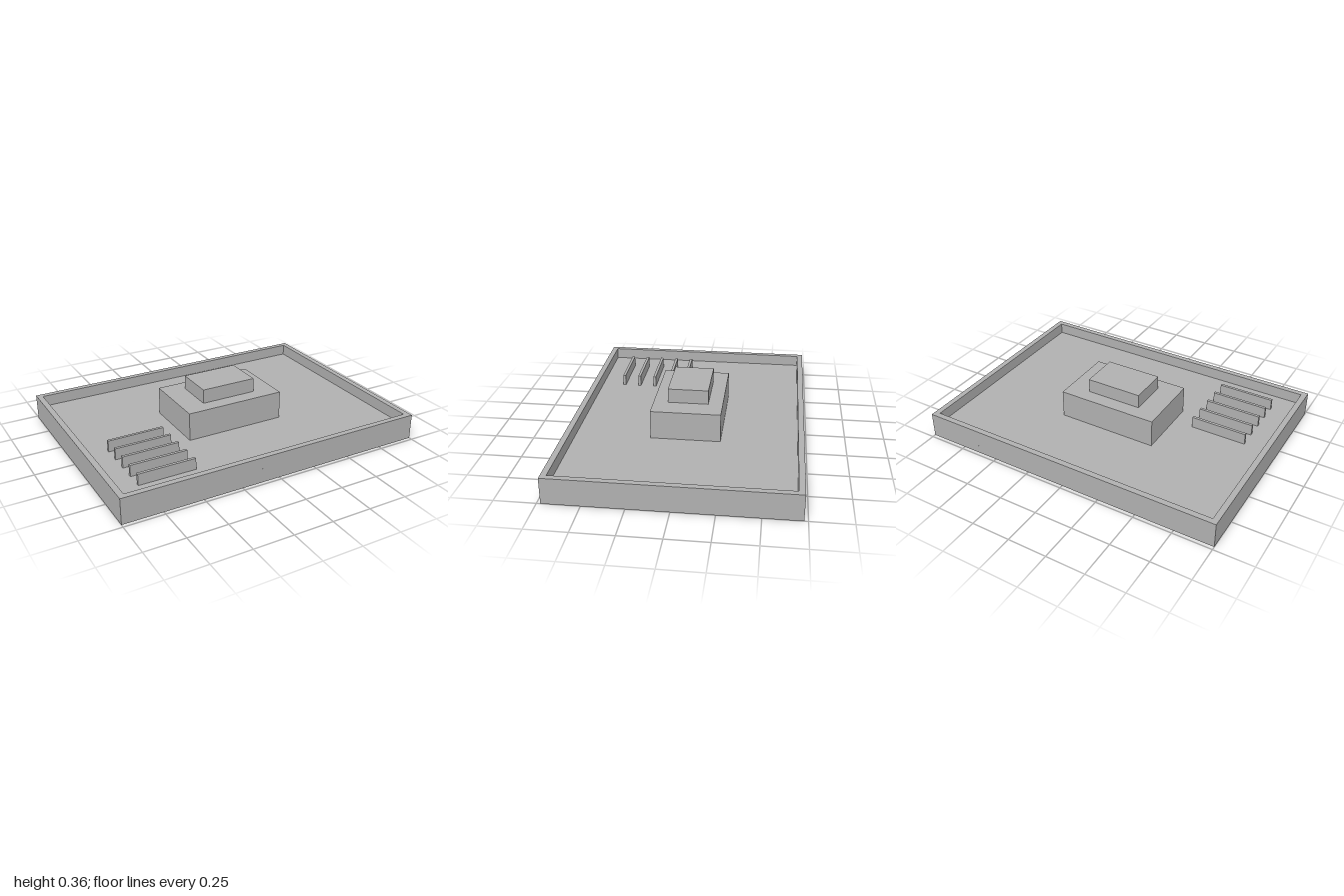
import * as THREE from 'three';

const W = 2, D = 1.4545;            // tray footprint
const FLOOR = 0.0909, RIM = 0.1636; // floor top and rim top
const WALL = 0.0364, HOLE_DEPTH = 0.0545;

// Rectangle outline centred on the origin
function rect(w, d, Type = THREE.Shape) {
  return new Type([
    new THREE.Vector2(-w / 2, -d / 2), new THREE.Vector2(w / 2, -d / 2),
    new THREE.Vector2(w / 2, d / 2), new THREE.Vector2(-w / 2, d / 2),
  ]);
}

export function createModel() {
  const model = new THREE.Group();
  const grey = new THREE.MeshStandardMaterial({ color: 0xb0b0b0 });
  grey.name = 'grey';

  const add = (name, geometry, x = 0, y = 0, z = 0) => {
    const mesh = new THREE.Mesh(geometry, grey);
    mesh.name = name;
    mesh.position.set(x, y, z);
    model.add(mesh);
  };
  const box = (name, w, h, d, x, y, z) =>
    add(name, new THREE.BoxGeometry(w, h, d), x, y + h / 2, z);
  // Extrudes a plan outline upwards
  const slab = (shape, height) =>
    new THREE.ExtrudeGeometry(shape, { depth: height, bevelEnabled: false, curveSegments: 16 })
      .rotateX(-Math.PI / 2);

  // Underside with a blind screw hole near each corner
  const base = rect(W, D);
  for (const sx of [-1, 1]) for (const sz of [-1, 1]) {
    const hole = new THREE.Path();
    hole.absarc(sx * 0.92, sz * 0.65, 0.019, 0, Math.PI * 2, true);
    base.holes.push(hole);
  }
  add('base', slab(base, HOLE_DEPTH));
  box('floor', W, FLOOR - HOLE_DEPTH, D, 0, HOLE_DEPTH, 0);

  // Raised rim around the tray
  const rim = rect(W, D);
  rim.holes.push(rect(W - 2 * WALL, D - 2 * WALL, THREE.Path));
  add('rim', slab(rim, RIM - FLOOR), 0, FLOOR);

  // Stepped block in the middle
  box('lowerBlock', 0.6545, 0.1818, 0.4364, 0, FLOOR, 0);
  box('upperBlock', 0.3636, 0.0909, 0.2545, 0, 0.2727, 0);

  // Row of five thin fins
  for (let i = 0; i < 5; i++) {
    box('fin', 0.3636, RIM - FLOOR, 0.0182, -0.6364, FLOOR, 0.1 + i * 0.1091);
  }
  return model;
}
